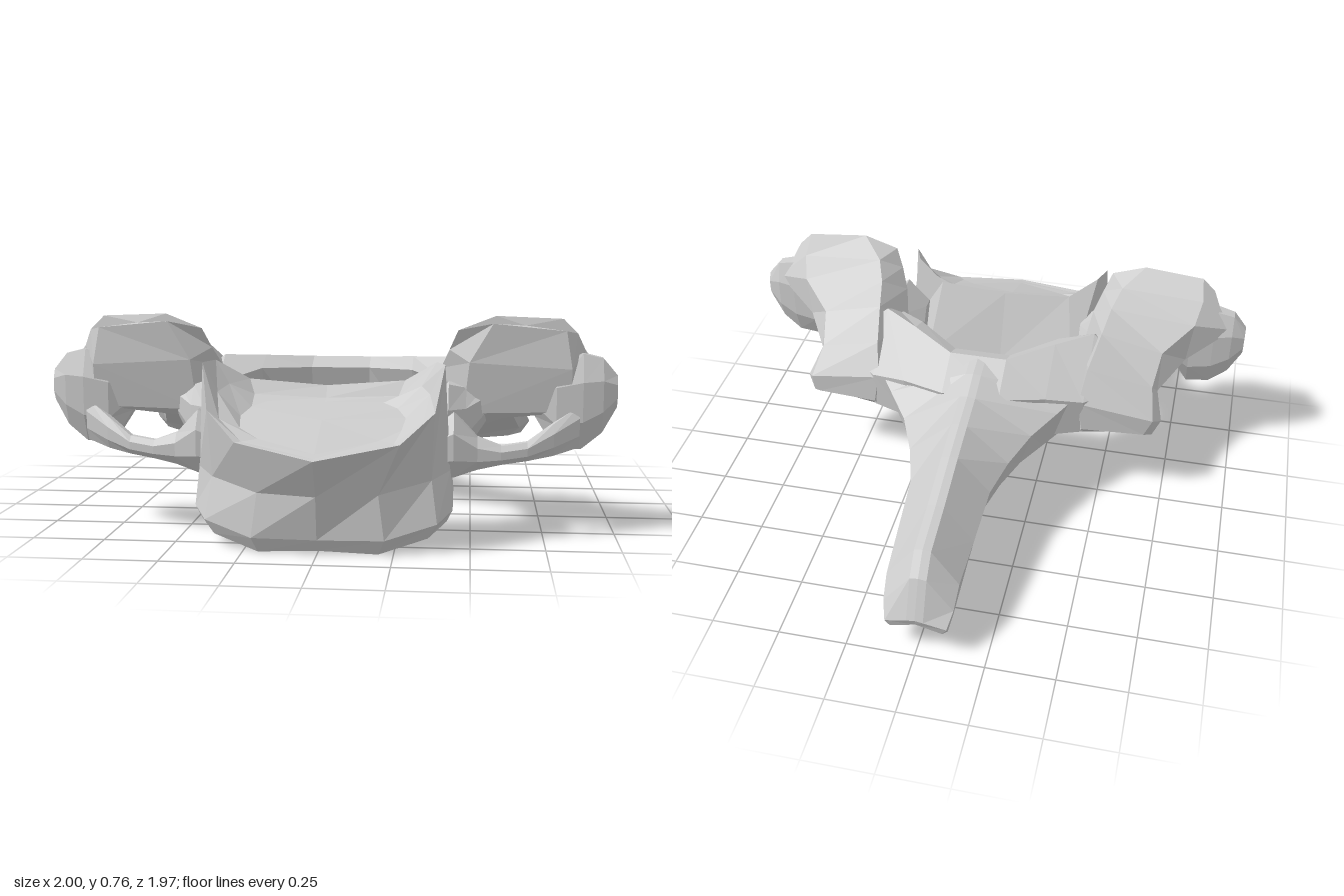
import * as THREE from 'three';

const bone = new THREE.MeshStandardMaterial({ color: 0xcccccc, flatShading: true });
bone.name = 'bone grey';

// Closed skin over rings of [x, y, z] points with equal counts; side -1 mirrors it in x
function loft(name, rings, side = 1) {
  const n = rings[0].length, last = rings.length - 1;
  const pts = rings.flat().map(([x, y, z]) => [x * side, y, z]);
  const faces = [];
  for (let r = 0; r < last; r++) {
    for (let i = 0; i < n; i++) {
      const j = (i + 1) % n, a = r * n + i, b = r * n + j;
      faces.push([a, b, b + n], [a, b + n, a + n]);
    }
  }
  // End caps fan out from the middle of the end rings
  for (const r of [0, last]) {
    const mid = [0, 1, 2].map(k => pts.slice(r * n, r * n + n).reduce((s, p) => s + p[k], 0) / n);
    const c = pts.push(mid) - 1;
    for (let i = 0; i < n; i++) {
      const a = r * n + i, b = r * n + (i + 1) % n;
      faces.push(r === 0 ? [c, b, a] : [c, a, b]);
    }
  }
  // The sign of the volume tells whether the skin is inside out
  const v = pts.map(p => new THREE.Vector3(...p));
  const volume = faces.reduce((s, [a, b, c]) => s + v[a].dot(v[b].clone().cross(v[c])), 0);
  if (volume < 0) faces.forEach(f => f.reverse());
  const geo = new THREE.BufferGeometry();
  geo.setAttribute('position', new THREE.Float32BufferAttribute(pts.flat(), 3));
  geo.setIndex(faces.flat());
  geo.computeVertexNormals();
  const mesh = new THREE.Mesh(geo, bone);
  mesh.name = name;
  return mesh;
}

// Completes a half ring whose first and last points lie on x = 0
const whole = half => [...half, ...half.slice(1, -1).reverse().map(([x, y, z]) => [-x, y, z])];

// Oval ring across the x axis
function oval(x, y, z, ry, rz, n = 8) {
  return Array.from({ length: n }, (_, i) => {
    const a = (i + 0.5) / n * Math.PI * 2;
    return [x, y + Math.sin(a) * ry, z + Math.cos(a) * rz];
  });
}

export function createModel() {
  const group = new THREE.Group();
  group.name = 'vertebra';

  // Body: bottom, waist, raised rim and sunken top plate
  group.add(loft('body', [
    [[0, 0.01, 0.86], [0.2, 0, 0.85], [0.36, 0.04, 0.78], [0.42, 0.08, 0.7], [0.42, 0.13, 0.56], [0.3, 0.17, 0.43], [0, 0.17, 0.45]],
    [[0, 0.05, 0.88], [0.22, 0.05, 0.87], [0.39, 0.09, 0.79], [0.44, 0.12, 0.7], [0.44, 0.17, 0.56], [0.3, 0.19, 0.41], [0, 0.2, 0.44]],
    [[0, 0.2, 0.91], [0.2, 0.2, 0.86], [0.37, 0.23, 0.75], [0.43, 0.25, 0.67], [0.43, 0.27, 0.57], [0.31, 0.25, 0.43], [0, 0.25, 0.46]],
    [[0, 0.33, 0.98], [0.27, 0.37, 0.88], [0.38, 0.46, 0.78], [0.41, 0.61, 0.69], [0.38, 0.61, 0.61], [0.27, 0.54, 0.56], [0, 0.52, 0.56]],
    [[0, 0.335, 0.96], [0.25, 0.37, 0.86], [0.34, 0.43, 0.77], [0.36, 0.51, 0.69], [0.33, 0.53, 0.63], [0.25, 0.49, 0.59], [0, 0.48, 0.59]],
    [[0, 0.345, 0.93], [0.2, 0.375, 0.83], [0.27, 0.4, 0.77], [0.28, 0.43, 0.7], [0.25, 0.455, 0.65], [0.2, 0.47, 0.62], [0, 0.47, 0.62]],
  ].map(whole)));

  // Arch behind the canal, one section per x
  const arch = (x, s) => s.map(([y, z]) => [x, y, z]);
  const halfArch = [
    [0.54, [[0.46, 0.3], [0.5, 0.2], [0.43, 0.1], [0.37, 0.1], [0.4, 0.2]]],
    [0.42, [[0.5, 0.38], [0.59, 0.24], [0.43, 0], [0.28, 0.01], [0.36, 0.24]]],
    [0.28, [[0.54, 0.25], [0.58, 0.15], [0.46, -0.05], [0.27, -0.03], [0.29, 0.12]]],
    [0.11, [[0.53, 0.11], [0.565, 0.03], [0.48, -0.12], [0.25, -0.06], [0.25, 0.04]]],
  ];
  group.add(loft('arch', [
    ...halfArch.map(([x, s]) => arch(x, s)),
    ...halfArch.slice().reverse().map(([x, s]) => arch(-x, s)),
  ]));

  // Rear spine: half width, ridge, shoulder and bottom heights, with z at top and bottom
  const spine = [
    [0.39, 0.56, 0.44, 0.26, 0.02, 0.01], [0.33, 0.545, 0.41, 0.25, -0.06, -0.07],
    [0.25, 0.51, 0.37, 0.24, -0.16, -0.18], [0.19, 0.485, 0.34, 0.235, -0.3, -0.32],
    [0.15, 0.455, 0.31, 0.225, -0.45, -0.45], [0.14, 0.405, 0.27, 0.17, -0.66, -0.68],
    [0.13, 0.37, 0.24, 0.1, -0.85, -0.87], [0.125, 0.3, 0.18, 0.085, -0.92, -0.94],
    [0.11, 0.16, 0.13, 0.1, -0.985, -0.97],
  ];
  group.add(loft('rearSpine', spine.map(([w, top, mid, low, zt, zb]) => whole([
    [0, top, zt], [0.03, top - 0.005, zt], [w, mid, (zt + zb) / 2],
    [w * 0.85, low, zb], [0, low + 0.03, zb + 0.01],
  ]))));

  for (const side of [1, -1]) {
    const wing = new THREE.Group();
    wing.name = side > 0 ? 'leftWing' : 'rightWing';

    // Joint plate sloping from the upper facet back to the lower one
    wing.add(loft('jointPlate', [
      [[0.45, 0.71, 0.51], [0.58, 0.76, 0.5], [0.81, 0.75, 0.48], [0.86, 0.7, 0.48], [0.82, 0.71, 0.515], [0.57, 0.735, 0.53]],
      [[0.42, 0.64, 0.48], [0.5, 0.7, 0.42], [0.82, 0.68, 0.42], [0.89, 0.64, 0.45], [0.84, 0.58, 0.53], [0.49, 0.6, 0.53]],
      [[0.39, 0.57, 0.43], [0.47, 0.65, 0.34], [0.8, 0.61, 0.35], [0.95, 0.56, 0.43], [0.84, 0.43, 0.51], [0.47, 0.42, 0.51]],
      [[0.37, 0.48, 0.36], [0.45, 0.6, 0.23], [0.69, 0.53, 0.25], [0.78, 0.46, 0.33], [0.72, 0.41, 0.43], [0.46, 0.38, 0.44]],
      [[0.36, 0.4, 0.24], [0.42, 0.53, 0.08], [0.67, 0.44, 0.14], [0.69, 0.4, 0.18], [0.65, 0.38, 0.26], [0.42, 0.36, 0.27]],
      [[0.35, 0.29, 0.09], [0.4, 0.42, 0], [0.69, 0.36, 0.03], [0.72, 0.33, 0.08], [0.68, 0.31, 0.12], [0.42, 0.28, 0.13]],
      [[0.38, 0.25, 0.04], [0.42, 0.3, 0], [0.66, 0.29, 0.03], [0.69, 0.28, 0.05], [0.64, 0.27, 0.07], [0.42, 0.25, 0.07]],
    ], side));

    // Rounded outer tip
    wing.add(loft('outerTip', [
      oval(0.72, 0.48, 0.43, 0.08, 0.07), oval(0.79, 0.45, 0.455, 0.17, 0.075),
      oval(0.88, 0.465, 0.46, 0.18, 0.07), oval(0.95, 0.485, 0.46, 0.14, 0.055),
      oval(1, 0.5, 0.46, 0.06, 0.03),
    ], side));

    // Bridge from the body to the joint plate, behind the side opening
    wing.add(loft('bridge', [
      oval(0.33, 0.35, 0.53, 0.1, 0.07), oval(0.42, 0.39, 0.52, 0.15, 0.12),
      oval(0.48, 0.4, 0.47, 0.12, 0.11), oval(0.55, 0.45, 0.42, 0.07, 0.08),
    ], side));

    // Thin bar in front of the side opening
    wing.add(loft('frontBar', [
      oval(0.34, 0.3, 0.61, 0.08, 0.07), oval(0.44, 0.33, 0.61, 0.12, 0.08),
      oval(0.52, 0.3, 0.605, 0.06, 0.055), oval(0.6, 0.295, 0.61, 0.035, 0.035),
      oval(0.69, 0.305, 0.585, 0.035, 0.035), oval(0.78, 0.34, 0.54, 0.06, 0.04),
      oval(0.87, 0.38, 0.49, 0.08, 0.04),
    ], side));
    group.add(wing);
  }
  return group;
}
